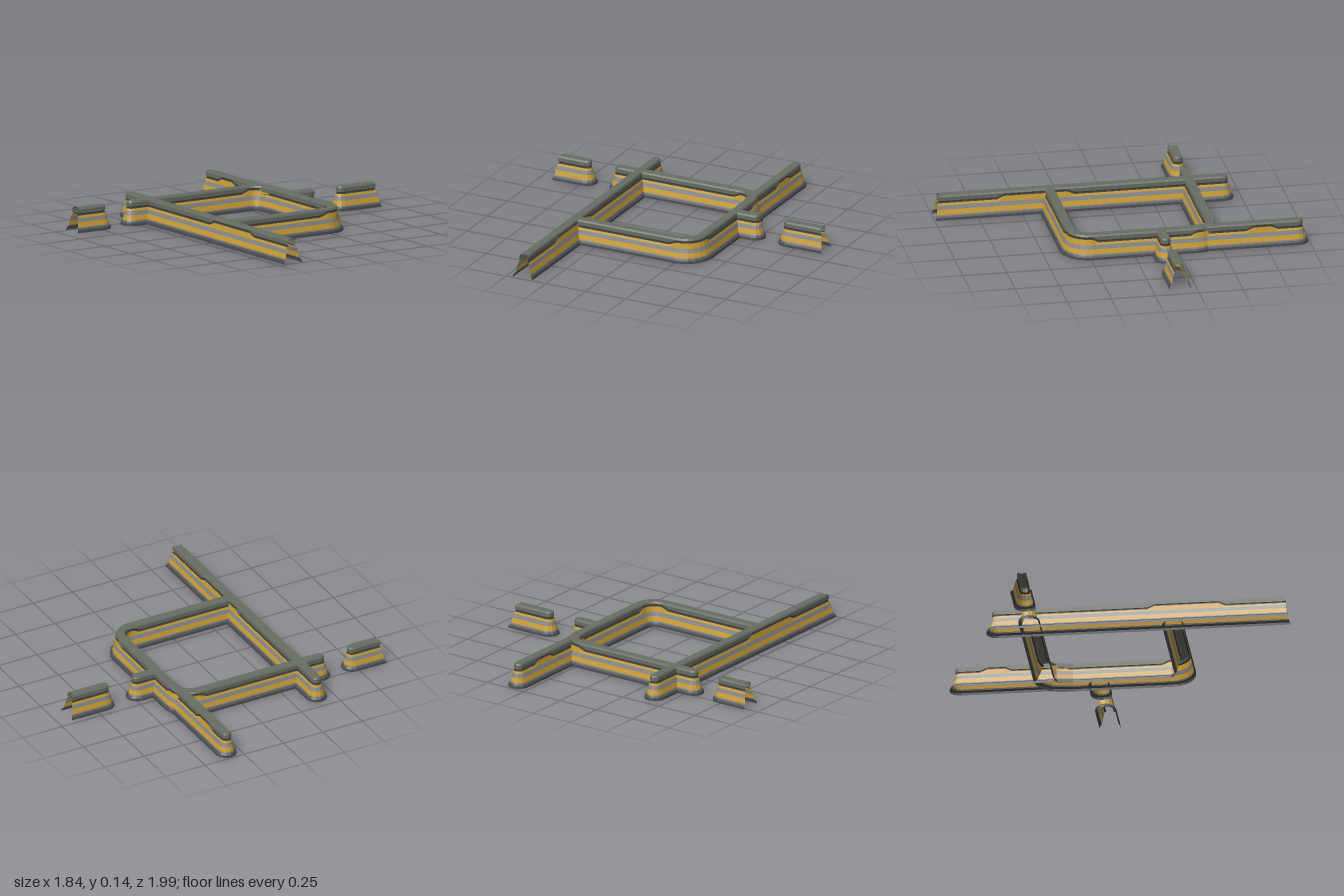
import * as THREE from 'three';

// Wall half-profile: [distance from centre line, height, follows the raised trim]
const PROFILE = [
  [0.06, 0], [0.059, 0.014], [0.049, 0.022], [0.046, 0.029], [0.040, 0.057],
  [0.034, 0.08], [0.030, 0.093, 1], [0.022, 0.096, 1], [0.022, 0.102, 1],
  [0.027, 0.105, 1], [0.027, 0.126], [0.022, 0.135], [0, 0.135],
];
const LIFT = 0.018;
const HALF = 0.06;

// Colour bands up the profile: name, first and last profile point, colour
const BANDS = [
  ['basePlinth', 0, 2, 0x4c4d50],
  ['baseLedge', 2, 3, 0x77787a],
  ['lowerStripe', 3, 4, 0xcc9f35],
  ['middleBand', 4, 5, 0x87888a],
  ['upperStripe', 5, 6, 0xcc9f35],
  ['shadowTrim', 6, 8, 0x3c3d3c],
  ['coping', 8, 12, 0x686d63],
];

// Walk down one side of the path, round its end and back up the other side
function outline(path, open, round) {
  const side = path.map(([x, z, lift = 0], i) => {
    const a = path[Math.max(i - 1, 0)], b = path[Math.min(i + 1, path.length - 1)];
    const len = Math.hypot(b[0] - a[0], b[1] - a[1]);
    const tx = (b[0] - a[0]) / len, tz = (b[1] - a[1]) / len;
    return { x, z, lift, tx, tz, nx: -tz, nz: tx, cut: open && i === 0 ? 0.6 : 0 };
  });
  const end = side[side.length - 1], cap = [];
  const steps = round ? 6 : 0;
  for (let k = 1; k < steps; k++) {
    const c = Math.cos(Math.PI * k / steps), s = Math.sin(Math.PI * k / steps);
    cap.push({ ...end, nx: end.nx * c + end.tx * s, nz: end.nz * c + end.tz * s });
  }
  const back = side.map((p) => ({ ...p, nx: -p.nx, nz: -p.nz })).reverse();
  return [...side, ...cap, ...back];
}

function makeWall(name, path, { open = false, round = true } = {}) {
  const group = new THREE.Group();
  group.name = name;
  const stations = outline(path, open, round);
  for (const [part, from, to, color] of BANDS) {
    const rows = to - from + 1, pos = [], index = [];
    stations.forEach((s, i) => {
      for (let j = from; j <= to; j++) {
        const [r, y, moves] = PROFILE[j];
        const inset = s.cut * (HALF - r);
        pos.push(s.x + s.nx * r + s.tx * inset, y + (moves ? s.lift * LIFT : 0), s.z + s.nz * r + s.tz * inset);
        if (i + 1 < stations.length && j < to) {
          const a = i * rows + j - from, b = a + rows;
          index.push(a, b, b + 1, a, b + 1, a + 1);
        }
      }
    });
    const geo = new THREE.BufferGeometry();
    geo.setAttribute('position', new THREE.Float32BufferAttribute(pos, 3));
    geo.setIndex(index);
    geo.computeVertexNormals();
    const mesh = new THREE.Mesh(geo, new THREE.MeshStandardMaterial({
      color, flatShading: true, side: THREE.DoubleSide,
    }));
    mesh.name = part;
    group.add(mesh);
  }
  return group;
}

// Quarter bend with raised trim
function bend(cx, cz, radius, start) {
  return Array.from({ length: 7 }, (_, k) => {
    const a = start - (Math.PI / 2) * (k / 6);
    return [cx + radius * Math.cos(a), cz + radius * Math.sin(a), 1];
  });
}

export function createModel() {
  const model = new THREE.Group();
  model.name = 'modularWalls';
  const left = -0.4, right = 0.346, front = 0.34, back = -0.454, R = 0.1;

  // Long side wall, cut open at the front and rounded at the back
  model.add(makeWall('longWall', [
    [left, 0.995], [left, 0.64], [left, 0.6, 1], [left, 0.24, 1], [left, 0.2], [left, -0.648],
  ], { open: true }));

  // Courtyard wall with two rounded corners, running out past the long wall
  model.add(makeWall('courtyardWall', [
    [left, front], [0.2, front],
    ...bend(right - R, front - R, R, Math.PI / 2),
    [right, 0.2], [right, -0.32],
    ...bend(right - R, back + R, R, 0),
    [0.2, back], [-0.525, back],
  ]));

  // Back wing leaving the rear bend
  model.add(makeWall('backWing', [
    [right, -0.2], [right, -0.3], [0.331, -0.41], [0.331, -0.64],
    [0.331, -0.68, 1], [0.331, -0.78, 1], [0.331, -0.82], [0.331, -0.935],
  ]));

  // Short stub on the right of the courtyard
  model.add(makeWall('sideStub', [[right, -0.157], [0.475, -0.157]]));

  // Free-standing wall pieces, open on their outer ends
  model.add(makeWall('rightPiece', [[0.92, -0.157], [0.685, -0.157]], { open: true }));
  model.add(makeWall('leftPiece', [[-0.92, back], [-0.732, back]], { open: true }));

  return model;
}
